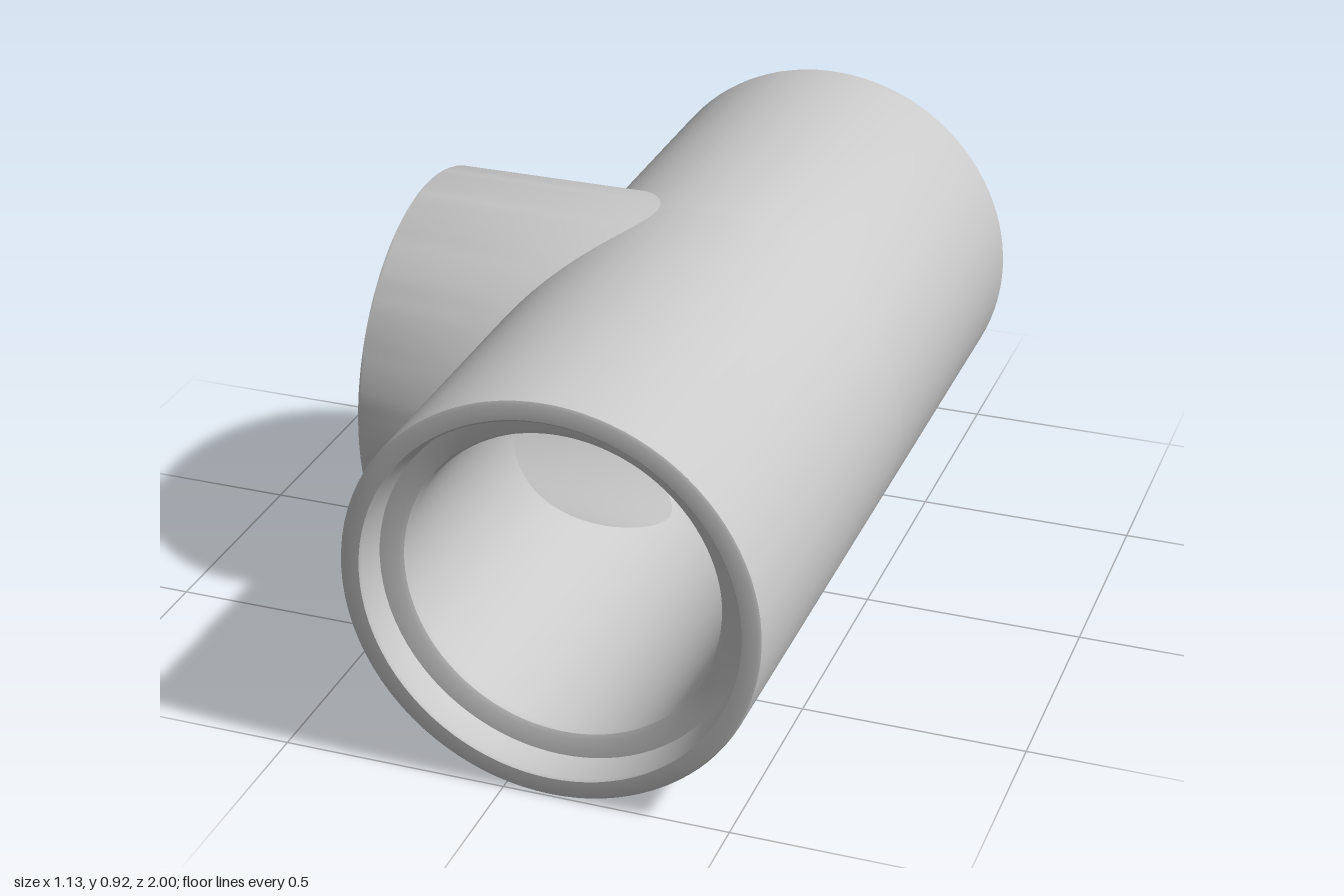
import * as THREE from 'three';
import { toCreasedNormals } from 'three/addons/utils/BufferGeometryUtils.js';

const CX = 0.105, CY = 0.463;          // main pipe axis (runs along z)
const R = 0.46, BORE = 0.344;          // main pipe outer and bore radius
const K = 0.965;                       // branch radius relative to main pipe
const BR = R * K, BRANCH_BORE = BORE * K;
const HALF = 40, REST = 56;            // samples over the opening / remaining wall

// Surface through rows of points
function loft(rows) {
  const n = rows[0].length, index = [];
  for (let i = 0; i < rows.length - 1; i++) {
    for (let j = 0; j < n - 1; j++) {
      const a = i * n + j, b = a + n;
      index.push(a, a + 1, b, b, a + 1, b + 1);
    }
  }
  const g = new THREE.BufferGeometry();
  g.setAttribute('position', new THREE.Float32BufferAttribute(rows.flat(2), 3));
  g.setIndex(index);
  return toCreasedNormals(g, 0.6);
}

// Angles around the main pipe, with the branch opening's relative half width at each
function wallSamples() {
  const list = [];
  for (let i = 0; i <= HALF; i++) {
    const t = -Math.PI / 2 + Math.PI * i / HALF;
    list.push([Math.asin(K * Math.sin(t)), Math.max(0, Math.cos(t))]);
  }
  const edge = Math.asin(K);
  for (let i = 1; i <= REST; i++) {
    list.push([edge + (2 * Math.PI - 2 * edge) * i / REST, 0]);
  }
  return list;
}

// One half of the main pipe: a profile of [radius, z] swept round the axis
function pipeHalf(profileAt) {
  return loft(wallSamples().map(([phi, w]) => profileAt(w).map(([r, z]) =>
    [CX - r * Math.cos(phi), CY + r * Math.sin(phi), z])));
}

export function createModel() {
  const group = new THREE.Group();
  const material = new THREE.MeshStandardMaterial({ color: 0xcccccc, side: THREE.DoubleSide });
  const add = (name, geometry) => {
    const mesh = new THREE.Mesh(geometry, material);
    mesh.name = name;
    group.add(mesh);
  };

  // Front half with a recessed socket
  add('socketHalf', pipeHalf(w => [
    [R, BR * w], [R, 0.99], [0.457, 0.997], [0.45, 1],
    [0.416, 1], [0.411, 0.994], [0.4, 0.93], [0.36, 0.925],
    [0.349, 0.92], [BORE, 0.908], [BORE, BRANCH_BORE * w],
  ]));

  // Back half with a stepped spigot
  add('spigotHalf', pipeHalf(w => [
    [BORE, -BRANCH_BORE * w], [BORE, -0.985], [0.348, -0.996], [0.357, -1],
    [0.392, -1], [0.399, -0.997], [0.402, -0.99], [0.402, -0.935],
    [0.446, -0.935], [0.456, -0.931], [R, -0.922], [R, -BR * w],
  ]));

  // Side branch with its own socket, its ends trimmed to the pipe's outside and bore
  const rows = [], end = -0.57;
  for (let i = 0; i <= 2 * HALF; i++) {
    const t = Math.PI * i / HALF, s = Math.sin(t);
    const saddle = (pipe, r) => CX - Math.sqrt(pipe * pipe - (r * s) ** 2);
    rows.push([
      [BRANCH_BORE, saddle(BORE, BRANCH_BORE)], [BRANCH_BORE, Math.min(end + 0.092, saddle(BORE, BRANCH_BORE))],
      [0.337, end + 0.08], [0.348, end + 0.075], [0.4, end + 0.07],
      [0.408, end + 0.006], [0.412, end], [0.434, end],
      [0.441, end + 0.003], [BR, end + 0.01], [BR, saddle(R, BR)],
    ].map(([r, x]) => [x, CY + r * s, r * Math.cos(t)]));
  }
  add('branch', loft(rows));

  return group;
}
